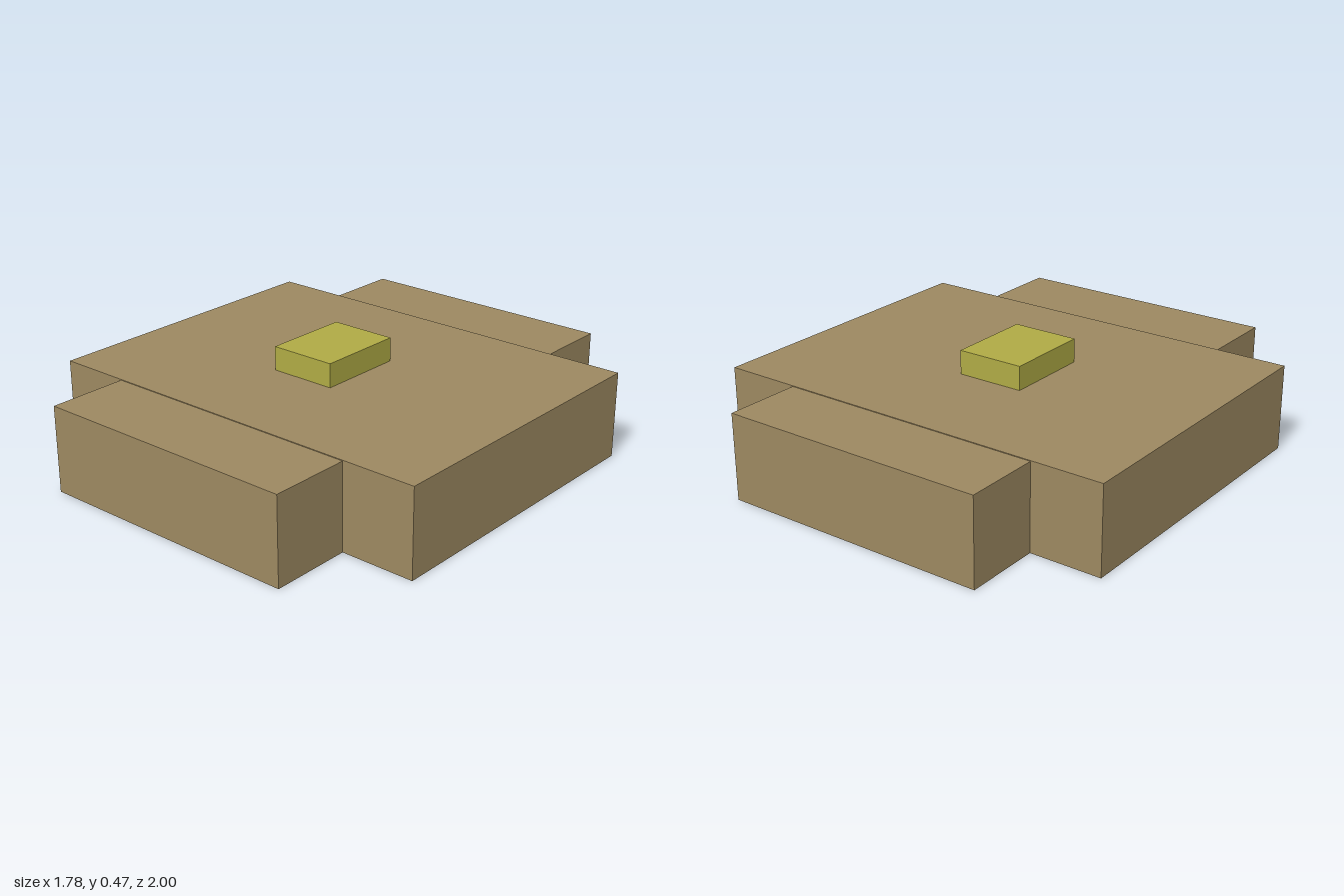
import * as THREE from 'three';

const brown = new THREE.MeshStandardMaterial({ color: 0x9d8961, flatShading: true });
const olive = new THREE.MeshStandardMaterial({ color: 0xb0ab45, flatShading: true });

// Box given by its [min, max] extents on each axis
function block(name, material, [x0, x1], [y0, y1], [z0, z1]) {
  const mesh = new THREE.Mesh(new THREE.BoxGeometry(x1 - x0, y1 - y0, z1 - z0), material);
  mesh.position.set((x0 + x1) / 2, (y0 + y1) / 2, (z0 + z1) / 2);
  mesh.name = name;
  return mesh;
}

export function createModel() {
  const group = new THREE.Group();
  group.name = 'steppedBlock';
  const top = 0.366, endTop = 0.363;

  group.add(
    // Wide middle slab
    block('mainSlab', brown, [-0.888, 0.888], [0, top], [-0.675, 0.66]),
    // Narrower, very slightly lower ends
    block('frontEnd', brown, [-0.578, 0.572], [0, endTop], [0.66, 1]),
    block('backEnd', brown, [-0.584, 0.563], [0, endTop], [-1, -0.675]),
    // Small raised block on top, set off to one side
    block('topBlock', olive, [-0.18, 0.11], [top, 0.467], [-0.187, 0.19]),
  );
  return group;
}
